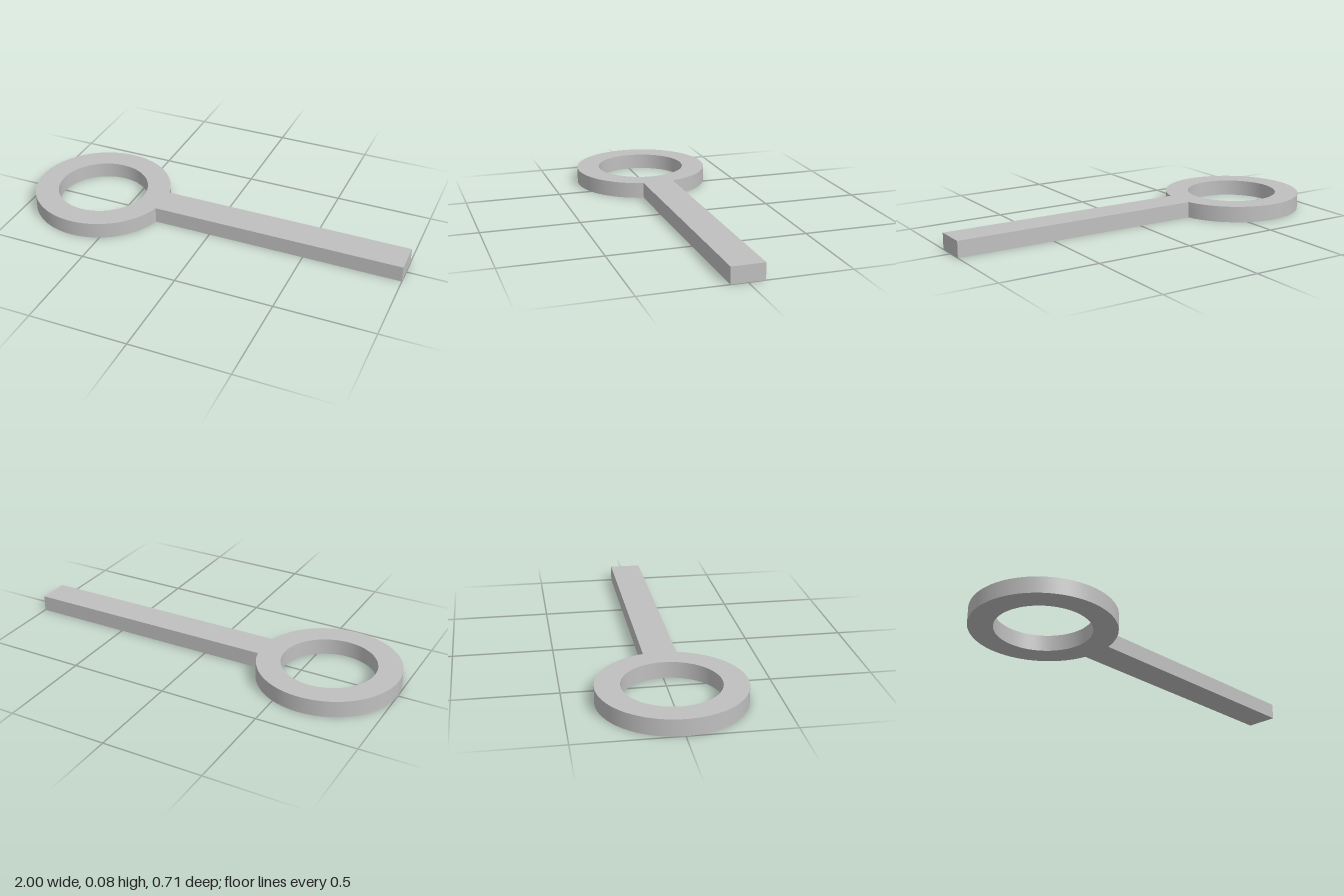
import * as THREE from 'three';
import { toCreasedNormals } from 'three/addons/utils/BufferGeometryUtils.js';

export function createModel() {
  const group = new THREE.Group();
  const grey = new THREE.MeshStandardMaterial({ color: 0xbfbfbf });
  grey.name = 'light grey';

  const outer = 0.355, inner = 0.235, halfWidth = 0.082, thickness = 0.082;
  const cx = -1 + outer;
  const a = Math.asin(halfWidth / outer);

  // Ring outline that opens into the straight bar
  const outline = new THREE.Shape();
  outline.moveTo(1, -halfWidth);
  outline.lineTo(1, halfWidth);
  outline.absarc(cx, 0, outer, a, Math.PI * 2 - a, false);
  outline.closePath();

  // Round eye through the ring
  const eye = new THREE.Path();
  eye.absarc(cx, 0, inner, 0, Math.PI * 2, true);
  outline.holes.push(eye);

  // Lay the plate flat, smooth round the curves and sharp at the edges
  const plate = new THREE.ExtrudeGeometry(outline, {
    depth: thickness, bevelEnabled: false, curveSegments: 48,
  });
  plate.rotateX(-Math.PI / 2);
  const mesh = new THREE.Mesh(toCreasedNormals(plate, 0.5), grey);
  mesh.name = 'ringWithBar';
  group.add(mesh);
  return group;
}
